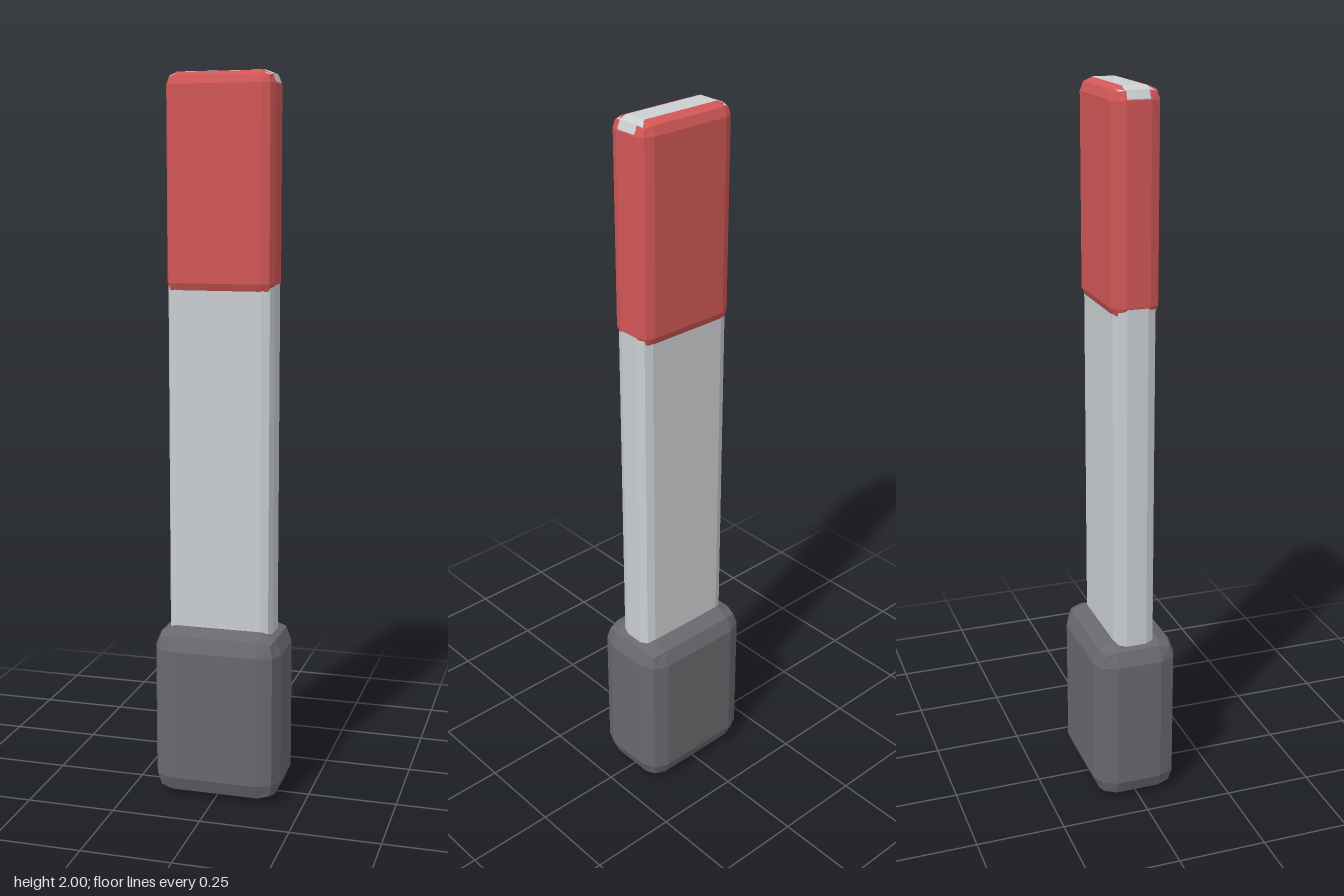
import * as THREE from 'three';
import { RoundedBoxGeometry } from 'three/addons/geometries/RoundedBoxGeometry.js';

const material = (name, color) => {
  const m = new THREE.MeshStandardMaterial({ color, flatShading: true });
  m.name = name;
  return m;
};

export function createModel() {
  const darkGrey = material('dark grey', 0x6a686d);
  const lightGrey = material('light grey', 0xcbcfd2);
  const red = material('red', 0xd25757);

  const model = new THREE.Group();
  model.name = 'postWithRedTip';

  // Box with two-step bevels, spanning bottom to top in y
  const block = (name, mat, width, depth, bottom, top, radius) => {
    const mesh = new THREE.Mesh(new RoundedBoxGeometry(width, top - bottom, depth, 1, radius), mat);
    mesh.name = name;
    mesh.position.y = (bottom + top) / 2;
    model.add(mesh);
  };

  // Chunky base
  block('base', darkGrey, 0.364, 0.242, 0, 0.487, 0.058);
  // Flat upright, its top face showing between the two red faces of the tip
  block('upright', lightGrey, 0.298, 0.118, 0.35, 2, 0.03);
  // Red tip, slightly thicker than the upright
  block('redTip', red, 0.3, 0.134, 1.413, 1.999, 0.033);

  return model;
}
